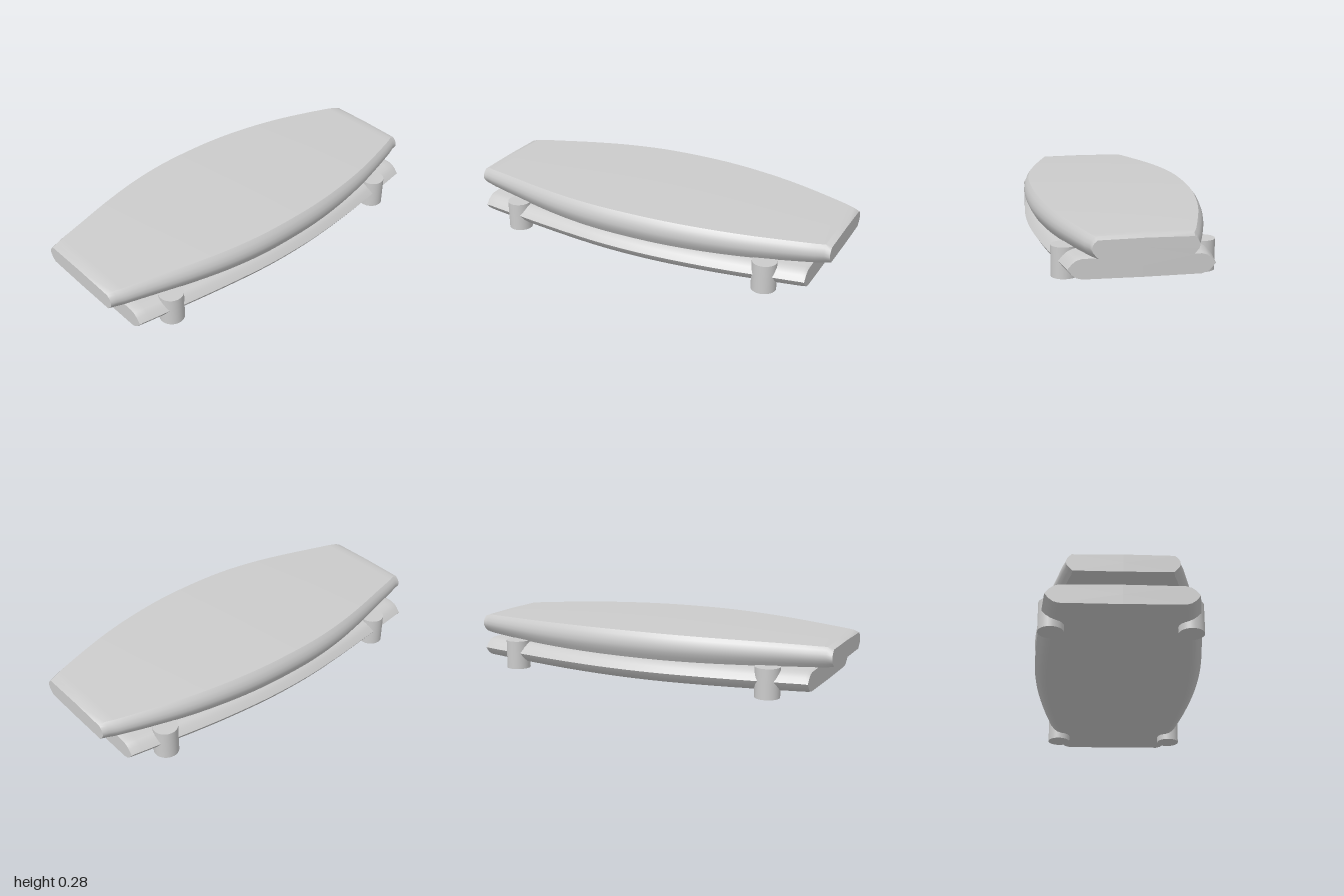
import * as THREE from 'three';
import { toCreasedNormals } from 'three/addons/utils/BufferGeometryUtils.js';

const material = new THREE.MeshStandardMaterial({ color: 0xcccccc });

// Lofts a barrel-shaped board along z.
// outline: [z, half width]; rim: [inset, height fraction] from the bottom edge up to the top edge
function boardGeometry(outline, rim, bottomAt, topAt, endRound) {
  const curve = new THREE.SplineCurve(outline.map(([z, w]) => new THREE.Vector2(z, w)));
  const stations = curve.getPoints(48).map((p) => ({ z: p.x, w: p.y, drop: 0 }));
  const last = stations.length - 1;

  // soften the edges of both ends
  for (const [end, next] of [[0, 1], [last, last - 1]]) {
    const s = stations[end];
    const dir = Math.sign(stations[next].z - s.z);
    stations[next].z = s.z + dir * endRound * 1.5;
    stations[next].w = s.w + Math.abs(stations[next].w - s.w) * 0.6;
    s.drop = endRound * 0.45;
  }

  const positions = [];
  const index = [];
  const count = rim.length * 2 + 2;
  for (const { z, w, drop } of stations) {
    const bottom = bottomAt(z) + drop * 0.5;
    const top = topAt(z) - drop;
    const right = rim.map(([inset, f]) => [w - inset, bottom + (top - bottom) * f]);
    const left = right.map(([x, y]) => [-x, y]).reverse();
    const ring = [[0, bottom - 0.002], ...right, [0, top + 0.003], ...left];
    ring.forEach(([x, y]) => positions.push(x, y, z));
  }
  for (let i = 0; i < last; i++) {
    for (let j = 0; j < count; j++) {
      const k = (j + 1) % count;
      const a = i * count + j, b = i * count + k;
      index.push(a, b, b + count, a, b + count, a + count);
    }
  }
  // end caps
  for (const [end, front] of [[0, false], [last, true]]) {
    const centre = positions.length / 3;
    const { z } = stations[end];
    positions.push(0, (bottomAt(z) + topAt(z)) / 2, z);
    for (let j = 0; j < count; j++) {
      const a = end * count + j, b = end * count + (j + 1) % count;
      index.push(centre, ...(front ? [a, b] : [b, a]));
    }
  }
  const geometry = new THREE.BufferGeometry();
  geometry.setAttribute('position', new THREE.Float32BufferAttribute(positions, 3));
  geometry.setIndex(index);
  return toCreasedNormals(geometry, 0.7);
}

export function createModel() {
  const model = new THREE.Group();
  const add = (name, geometry) => {
    const mesh = new THREE.Mesh(geometry, material);
    mesh.name = name;
    model.add(mesh);
    return mesh;
  };

  // upper board: thick, with a gently arched top
  add('upperBoard', boardGeometry(
    [[-1, 0.24], [-0.8, 0.305], [-0.6, 0.362], [-0.4, 0.402], [-0.2, 0.427], [0, 0.435],
      [0.2, 0.43], [0.4, 0.405], [0.6, 0.362], [0.8, 0.308], [1, 0.255]],
    [[0.03, 0], [0.016, 0.17], [0.005, 0.34], [0, 0.5], [0.003, 0.68], [0.012, 0.86], [0.026, 1]],
    (z) => 0.142 + 0.01 * z * z,
    (z) => 0.276 - 0.027 * z * z,
    0.02,
  ));

  // lower board: shorter, with a pointed rim and a bowed underside
  add('lowerBoard', boardGeometry(
    [[-0.915, 0.337], [-0.7, 0.368], [-0.45, 0.402], [-0.2, 0.425], [0, 0.432],
      [0.2, 0.427], [0.45, 0.405], [0.7, 0.376], [0.915, 0.35]],
    [[0.065, 0], [0.04, 0.08], [0.02, 0.24], [0, 0.5], [0.02, 0.76], [0.04, 0.92], [0.065, 1]],
    (z) => 0.025 + 0.016 * z * z,
    (z) => 0.138 + 0.003 * z * z,
    0.012,
  ));

  // four round feet joining the boards
  const foot = new THREE.CylinderGeometry(0.062, 0.062, 0.15, 32);
  for (const [zName, z] of [['front', 0.71], ['back', -0.71]]) {
    for (const [xName, x] of [['Left', 0.326], ['Right', -0.326]]) {
      add(`${zName}${xName}Foot`, foot).position.set(x, 0.075, z);
    }
  }
  return model;
}
